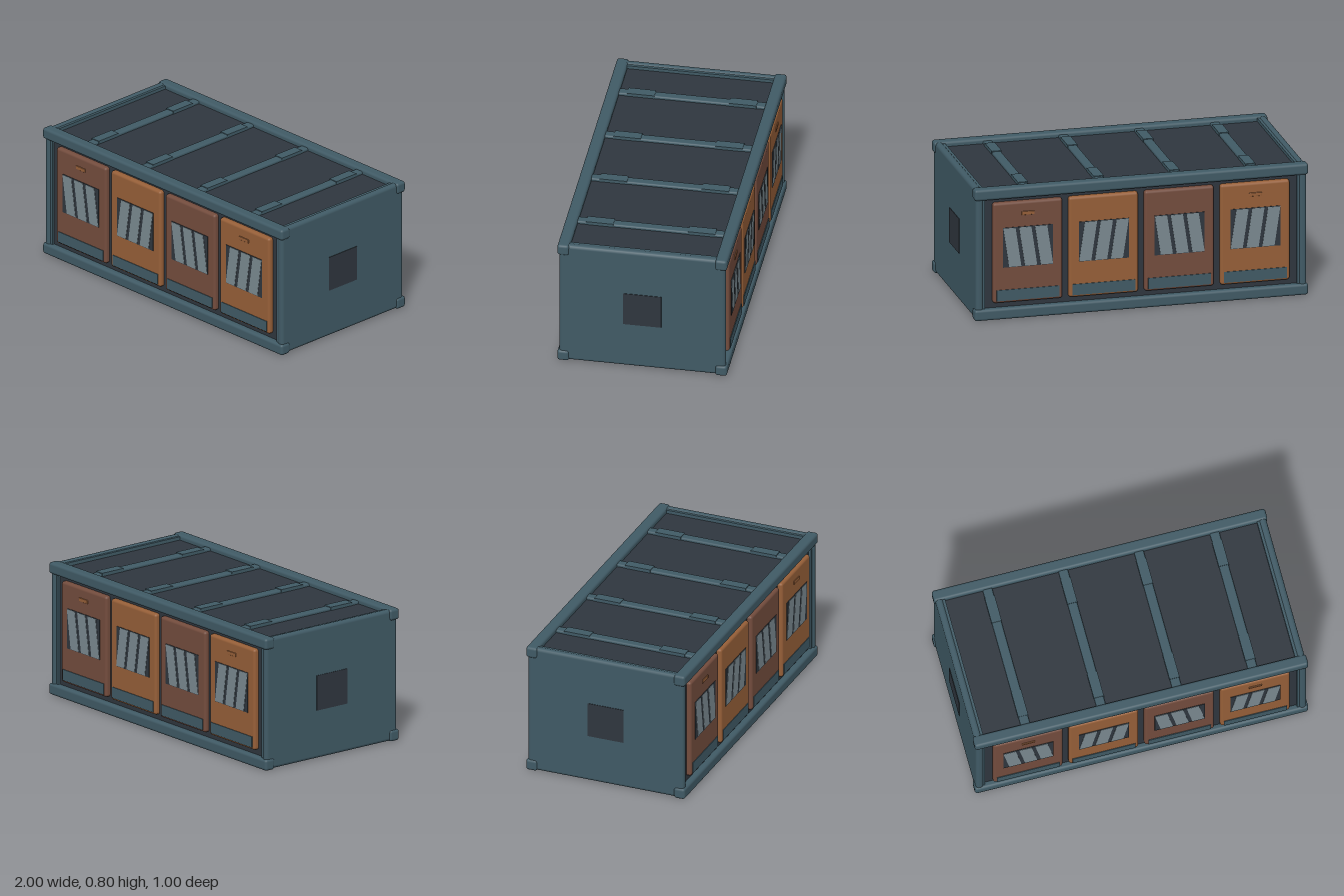
import * as THREE from 'three';
import { RoundedBoxGeometry } from 'three/addons/geometries/RoundedBoxGeometry.js';

const material = (name, color) => {
  const m = new THREE.MeshStandardMaterial({ color });
  m.name = name;
  return m;
};

export function createModel() {
  const teal = material('teal steel', 0x405a65);
  const dark = material('dark panel', 0x2f363e);
  const orange = material('orange door', 0x965f38);
  const brown = material('brown door', 0x734c3d);
  const grey = material('grey glass', 0x7a8990);

  const model = new THREE.Group();
  model.name = 'container';

  // Box centred on a point; a radius rounds its edges
  const box = (parent, name, mat, [w, h, d], [x, y, z], radius = 0) => {
    const geo = radius
      ? new RoundedBoxGeometry(w, h, d, 2, radius)
      : new THREE.BoxGeometry(w, h, d);
    const mesh = new THREE.Mesh(geo, mat);
    mesh.name = name;
    mesh.position.set(x, y, z);
    parent.add(mesh);
    return mesh;
  };

  // Dark inner body
  box(model, 'body', dark, [1.9, 0.74, 0.93], [0, 0.4, 0]);

  // Long rails on the four long edges
  for (const y of [0.034, 0.766])
    for (const z of [-0.465, 0.465])
      box(model, 'rail', teal, [2, 0.068, 0.07], [0, y, z], 0.016);

  // End walls with a vent plate, and the slim inner flange behind each
  for (const s of [-1, 1]) {
    box(model, 'endWall', teal, [0.045, 0.794, 0.98], [s * 0.969, 0.4, 0], 0.02);
    box(model, 'endFlange', teal, [0.03, 0.78, 0.96], [s * 0.95, 0.4, 0]);
    box(model, 'vent', dark, [0.004, 0.212, 0.226], [s * 0.9925, 0.4, 0]);
  }

  // Cross bars with sleeves, on the roof and underneath
  const columns = [-0.681, -0.227, 0.227, 0.681];
  for (const x of columns)
    for (const s of [-1, 1]) {
      box(model, 'crossBar', teal, [0.056, 0.04, 0.88], [x, 0.4 + s * 0.366, 0], 0.01);
      for (const z of [-0.3, 0.3])
        box(model, 'barSleeve', teal, [0.06, 0.03, 0.16], [x, 0.4 + s * 0.375, z]);
    }

  // Slanted glass strip, leaning to one side
  const glassStrip = (lean) => {
    const w = 0.073, h = 0.236, k = lean * 0.0175;
    const shape = new THREE.Shape([
      new THREE.Vector2(-w / 2 + k, -h / 2),
      new THREE.Vector2(w / 2 + k, -h / 2),
      new THREE.Vector2(w / 2 - k, h / 2),
      new THREE.Vector2(-w / 2 - k, h / 2),
    ]);
    return new THREE.ExtrudeGeometry(shape, { depth: 0.002, bevelEnabled: false });
  };

  // Door with window, kick plate and, on the outer doors, a handle
  const makeDoor = (index) => {
    const door = new THREE.Group();
    door.name = 'door';
    box(door, 'doorPanel', index % 2 ? orange : brown, [0.416, 0.61, 0.05], [0, 0.405, 0.47], 0.016);
    box(door, 'window', dark, [0.3, 0.242, 0.004], [0, 0.437, 0.496]);
    for (const i of [-1, 0, 1]) {
      const strip = new THREE.Mesh(glassStrip(index % 2 ? -1 : 1), grey);
      strip.name = 'windowStrip';
      strip.position.set(i * 0.095, 0.437, 0.498);
      door.add(strip);
    }
    box(door, 'kickPlate', teal, [0.376, 0.066, 0.005], [0, 0.147, 0.4965]);
    if (index === 0 || index === 3)
      box(door, 'handle', orange, [0.078, 0.022, 0.008], [0, 0.639, 0.496], 0.003);
    return door;
  };

  // The same row of doors on the front and, turned round, on the back
  for (const [name, turn] of [['frontDoors', 0], ['backDoors', Math.PI]]) {
    const row = new THREE.Group();
    row.name = name;
    row.rotation.y = turn;
    columns.forEach((x, i) => {
      const door = makeDoor(i);
      door.position.x = x;
      row.add(door);
    });
    model.add(row);
  }

  return model;
}
